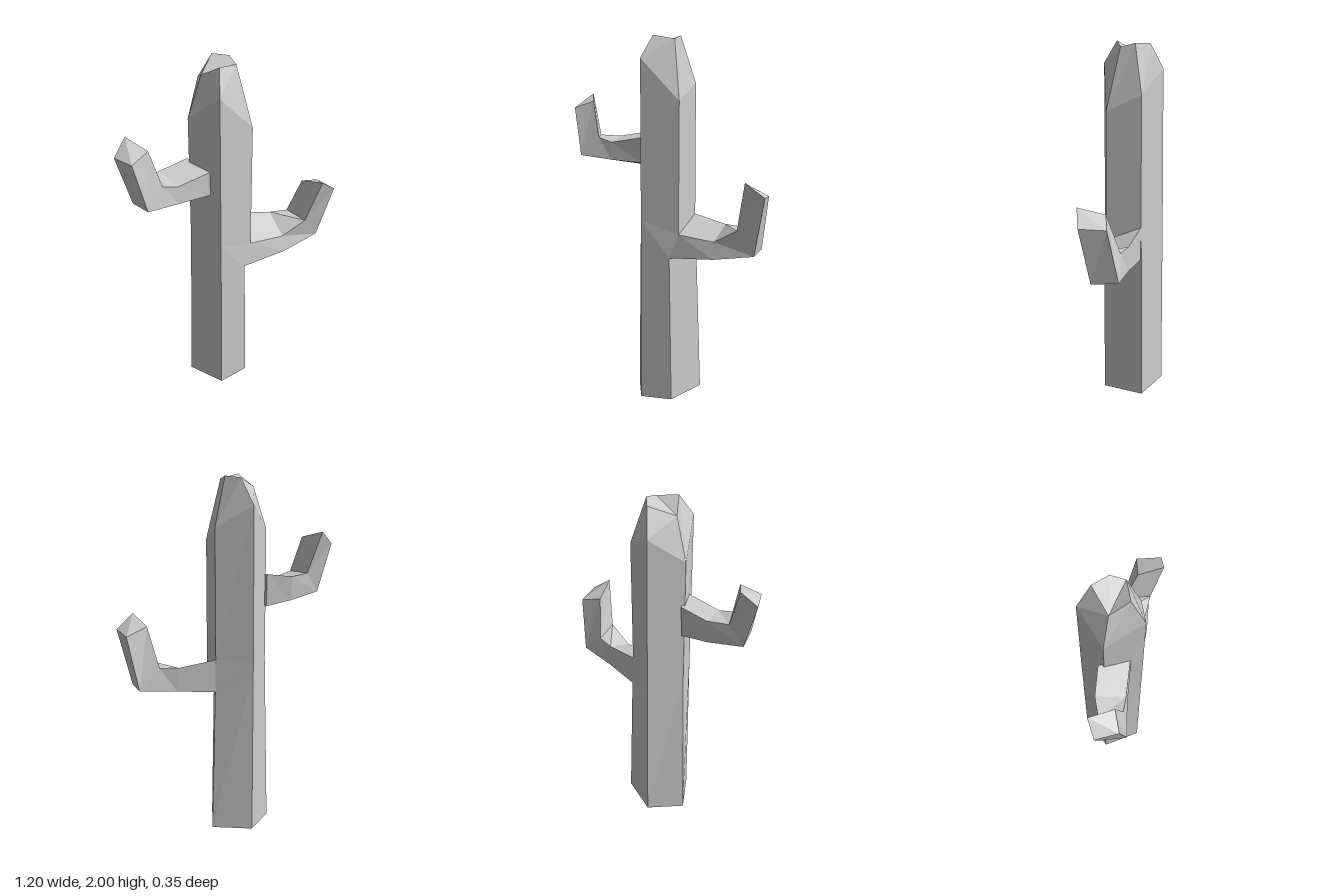
import * as THREE from 'three';

// Skins a list of equal-length rings (counter-clockwise seen from the far end) and caps both ends.
function loft(rings) {
  const pos = [];
  const tri = (a, b, c) => pos.push(...a, ...b, ...c);
  const n = rings[0].length;
  for (let r = 0; r < rings.length - 1; r++) {
    const lo = rings[r], hi = rings[r + 1];
    for (let i = 0; i < n; i++) {
      const j = (i + 1) % n;
      tri(lo[i], lo[j], hi[j]);
      tri(lo[i], hi[j], hi[i]);
    }
  }
  const start = rings[0], end = rings[rings.length - 1];
  for (let i = 1; i < n - 1; i++) {
    tri(start[0], start[i + 1], start[i]);
    tri(end[0], end[i], end[i + 1]);
  }
  const geo = new THREE.BufferGeometry();
  geo.setAttribute('position', new THREE.Float32BufferAttribute(pos, 3));
  geo.computeVertexNormals(); // unshared corners give flat facets
  return geo;
}

export function createModel() {
  const group = new THREE.Group();
  const grey = new THREE.MeshStandardMaterial({ color: 0xcccccc });
  grey.name = 'plain grey';
  const add = (name, rings) => {
    const mesh = new THREE.Mesh(loft(rings), grey);
    mesh.name = name;
    group.add(mesh);
  };

  // Five-sided trunk: corners run left, front, front right, back right, back
  add('trunk', [
    [[-0.23, 0.005, -0.01], [-0.105, 0.005, 0.175], [0.07, 0.01, 0.14], [0.13, 0.02, -0.095], [-0.085, 0.02, -0.175]],
    [[-0.203, 1.0, -0.01], [-0.102, 1.02, 0.168], [0.055, 0.82, 0.135], [0.105, 0.85, -0.085], [-0.085, 0.98, -0.168]],
    [[-0.203, 1.02, -0.01], [-0.102, 1.04, 0.168], [0.1, 0.95, 0.113], [0.1, 1.03, -0.08], [-0.085, 1.03, -0.168]],
    [[-0.2, 1.72, -0.01], [-0.102, 1.88, 0.163], [0.1, 1.66, 0.106], [0.1, 1.75, -0.08], [-0.083, 1.86, -0.16]],
    [[-0.13, 1.94, 0], [-0.07, 2.0, 0.085], [0.037, 1.98, 0.042], [0.033, 2.0, -0.033], [-0.03, 1.995, -0.1]],
  ]);

  // Lower arm: corners run top front, bottom front, bottom back, top back
  add('lowerArm', [
    [[0.1, 0.95, 0.113], [0.055, 0.82, 0.135], [0.1, 0.85, -0.08], [0.1, 1.035, -0.08]],
    [[0.305, 0.93, 0.1], [0.31, 0.84, 0.123], [0.31, 0.865, -0.055], [0.3, 1.0, -0.055]],
    [[0.44, 1.005, 0.108], [0.53, 0.875, 0.09], [0.515, 0.885, -0.05], [0.4, 1.0, -0.035]],
    [[0.503, 1.265, 0.16], [0.6, 1.19, 0.13], [0.567, 1.18, -0.005], [0.45, 1.22, 0.027]],
  ]);

  // Upper arm: corners run top back, bottom back, bottom front, top front
  add('upperArm', [
    [[-0.2, 1.48, -0.04], [-0.2, 1.3, -0.03], [-0.135, 1.325, 0.11], [-0.135, 1.46, 0.107]],
    [[-0.35, 1.455, -0.022], [-0.35, 1.32, -0.01], [-0.315, 1.335, 0.133], [-0.315, 1.43, 0.125]],
    [[-0.455, 1.46, 0.02], [-0.53, 1.345, 0.05], [-0.49, 1.355, 0.17], [-0.395, 1.455, 0.13]],
    [[-0.525, 1.69, -0.01], [-0.6, 1.615, 0.037], [-0.545, 1.615, 0.143], [-0.448, 1.65, 0.1]],
  ]);

  return group;
}
